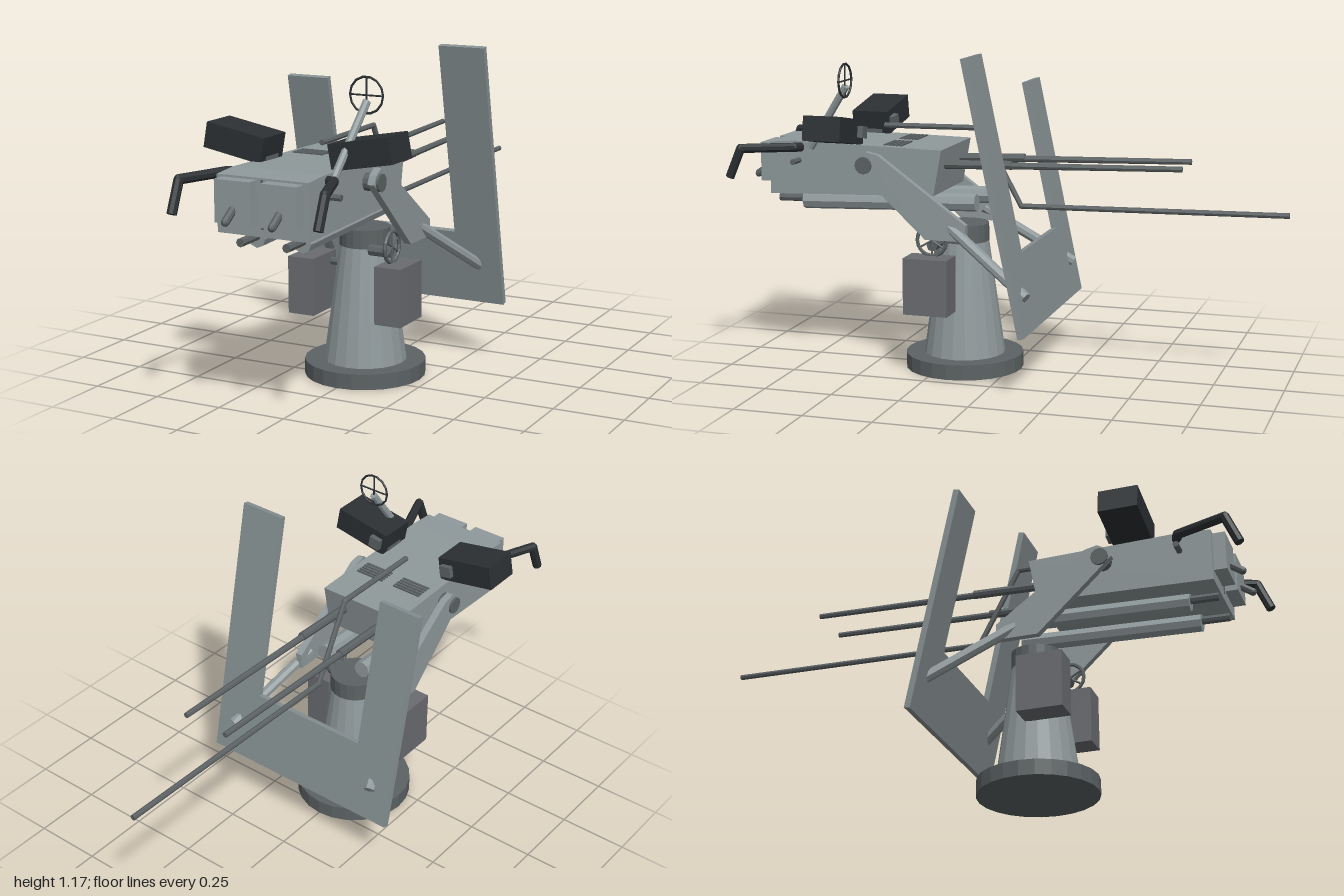
import * as THREE from 'three';

const mat = (color) => new THREE.MeshStandardMaterial({ color, flatShading: true, side: THREE.DoubleSide });
const GREY = mat(0x8f999b), SHIELD = mat(0x879193), STEEL = mat(0x5c6264), BOX = mat(0x6a6c70), BLACK = mat(0x2c3033);
const V = (p) => new THREE.Vector3(...p);

export function createModel() {
  const model = new THREE.Group();

  const add = (name, geo, material, pos = [0, 0, 0], parent = model) => {
    const mesh = new THREE.Mesh(geo, material);
    mesh.name = name;
    mesh.position.set(...pos);
    parent.add(mesh);
    return mesh;
  };
  // Box given by its limits on each axis
  const block = (name, [x0, x1], [y0, y1], [z0, z1], material) =>
    add(name, new THREE.BoxGeometry(Math.abs(x1 - x0), y1 - y0, z1 - z0), material,
      [(x0 + x1) / 2, (y0 + y1) / 2, (z0 + z1) / 2]);
  // Cylinder between two points
  const rod = (name, a, b, r, material, rEnd = r, sides = 8) => {
    const from = V(a), to = V(b), dir = to.clone().sub(from);
    const mesh = add(name, new THREE.CylinderGeometry(rEnd, r, dir.length(), sides), material,
      from.clone().add(to).multiplyScalar(0.5).toArray());
    mesh.quaternion.setFromUnitVectors(new THREE.Vector3(0, 1, 0), dir.normalize());
    return mesh;
  };
  // Bent bar: rods with rounded joints
  const bentBar = (name, points, r, material) => {
    for (let i = 1; i < points.length; i++) {
      rod(name, points[i - 1], points[i], r, material);
      if (i < points.length - 1) add(name + 'Joint', new THREE.SphereGeometry(r, 8, 6), material, points[i]);
    }
  };
  // Side profile of [z, y] points, extruded from x0 to x1
  const sidePlate = (name, points, x0, x1, material) => {
    const shape = new THREE.Shape(points.map(([z, y]) => new THREE.Vector2(-z, y)));
    const geo = new THREE.ExtrudeGeometry(shape, { depth: x1 - x0, bevelEnabled: false });
    geo.rotateY(Math.PI / 2);
    return add(name, geo, material, [x0, 0, 0]);
  };

  // Pedestal
  const cz = 0.175;
  add('pedestalBase', new THREE.CylinderGeometry(0.215, 0.215, 0.055, 24), STEEL, [0, 0.0275, cz]);
  add('pedestalCone', new THREE.CylinderGeometry(0.09, 0.148, 0.415, 20), GREY, [0, 0.2625, cz]);
  add('pedestalCap', new THREE.CylinderGeometry(0.09, 0.09, 0.07, 20), STEEL, [0, 0.5, cz]);

  // Elevation handwheel
  rod('handwheelShaft', [0.06, 0.47, 0.25], [0.145, 0.47, 0.25], 0.02, STEEL);
  const wheel = new THREE.Group();
  wheel.name = 'handwheel';
  wheel.position.set(0.145, 0.49, 0.25);
  wheel.rotation.y = Math.PI / 2;
  model.add(wheel);
  add('handwheelRim', new THREE.TorusGeometry(0.055, 0.007, 6, 16), STEEL, [0, 0, 0], wheel);
  for (let i = 0; i < 3; i++) {
    const spoke = add('handwheelSpoke', new THREE.CylinderGeometry(0.004, 0.004, 0.11, 6), STEEL, [0, 0, 0], wheel);
    spoke.rotation.z = i * Math.PI / 3;
  }

  // U-shaped shield, leaning back, with uneven uprights
  const lean = 0.208, c = Math.cos(lean);
  const outline = [[-0.395, 0], [0.395, 0], [0.395, 0.95], [0.225, 0.95], [0.225, 0.265],
    [-0.23, 0.265], [-0.23, 0.805], [-0.395, 0.805]];
  const shieldShape = new THREE.Shape(outline.map(([x, y]) => new THREE.Vector2(x, y / c)));
  const shield = add('shield', new THREE.ExtrudeGeometry(shieldShape, { depth: 0.022, bevelEnabled: false }),
    SHIELD, [0, 0.222, -0.165]);
  shield.rotation.x = lean;

  // Receiver housing
  sidePlate('receiver', [[0.86, 0.635], [0.235, 0.655], [0.205, 0.82], [0.76, 0.832], [0.86, 0.825]],
    -0.168, 0.168, GREY);
  block('receiverSeam', [-0.004, 0.004], [0.66, 0.82], [0.85, 0.863], STEEL);

  // Linked sight bar running over and ahead of the guns
  bentBar('centreBar', [[0, 0.878, 0.478], [0, 0.882, 0.11], [0, 0.605, -0.04], [0, 0.622, -1]], 0.01, STEEL);

  for (const s of [-1, 1]) {
    // Side ammunition can with bracket
    block('ammunitionCan', [s * 0.12, s * 0.22], [0.23, 0.435], [0.17, 0.335], BOX);
    rod('canBracket', [s * 0.08, 0.4, 0.2], [s * 0.13, 0.4, 0.2], 0.014, STEEL);

    // Cradle arm, trunnion and shield brace
    sidePlate('cradleArm', [[0.52, 0.76], [0.505, 0.79], [0.47, 0.81], [0.425, 0.8],
      [0.1, 0.565], [0.1, 0.507], [0.25, 0.507]], s > 0 ? 0.192 : -0.218, s > 0 ? 0.218 : -0.192, GREY);
    rod('trunnion', [s * 0.15, 0.762, 0.478], [s * 0.226, 0.762, 0.478], 0.031, STEEL, 0.031, 12);
    rod('shieldBrace', [s * 0.2, 0.555, 0.165], [s * 0.315, 0.345, -0.15], 0.02, GREY);
    rod('crossPin', [s * 0.16, 0.762, 0.748], [s * 0.222, 0.762, 0.748], 0.011, STEEL);

    // Gun barrel, recoil tube and rod
    const gx = s * 0.085;
    rod('barrelSleeve', [gx, 0.757, 0.24], [gx, 0.766, -0.03], 0.016, STEEL);
    rod('barrel', [gx, 0.756, 0.25], [gx, 0.78, -0.64], 0.013, STEEL, 0.01);
    rod('recoilTube', [gx, 0.602, 0.76], [gx, 0.625, 0.1], 0.032, GREY);
    rod('recoilRod', [gx, 0.608, 0.86], [gx, 0.612, 0.7], 0.015, STEEL);

    // Rear cover and grip
    block('rearCover', [s * 0.02, s * 0.15], [0.677, 0.818], [0.84, 0.905], GREY);
    rod('rearGrip', [gx, 0.73, 0.89], [gx, 0.692, 0.945], 0.014, STEEL);
    add('rearGripEnd', new THREE.SphereGeometry(0.014, 8, 6), STEEL, [gx, 0.692, 0.945]);

    // Top vent slots
    for (let i = 0; i < 5; i++)
      block('ventSlot', [s * 0.025, s * 0.14], [0.82, 0.829], [0.363 + i * 0.015, 0.371 + i * 0.015], STEEL);

    // Handlebar
    bentBar('handlebar', [[s * 0.165, 0.81, 0.74], [s * 0.195, 0.812, 0.75],
      [s * 0.265, 0.81, 0.93], [s * 0.265, 0.705, 0.975]], 0.017, BLACK);

    // Tilted top magazine with inner feed block
    const magazine = new THREE.Group();
    magazine.name = 'magazine';
    magazine.position.set(s * 0.235, 0.886, 0.583);
    magazine.rotation.z = s * 0.18;
    model.add(magazine);
    add('magazineBox', new THREE.BoxGeometry(0.222, 0.088, 0.14), BLACK, [0, 0, 0], magazine);
    add('feedBlock', new THREE.BoxGeometry(0.045, 0.042, 0.03), STEEL, [-s * 0.075, 0, -0.075], magazine);
    block('magazineMount', [s * 0.13, s * 0.165], [0.8, 0.86], [0.54, 0.62], STEEL);
  }

  // Ring sight on its slanted post
  rod('sightPost', [0.168, 0.81, 0.7], [0.205, 1.04, 0.545], 0.014, GREY);
  add('sightRing', new THREE.TorusGeometry(0.06, 0.004, 6, 14), BLACK, [0.205, 1.06, 0.548]);
  rod('sightCrosshair', [0.145, 1.06, 0.548], [0.265, 1.06, 0.548], 0.003, BLACK);
  rod('sightCrosshair', [0.205, 1.0, 0.548], [0.205, 1.12, 0.548], 0.003, BLACK);

  return model;
}
